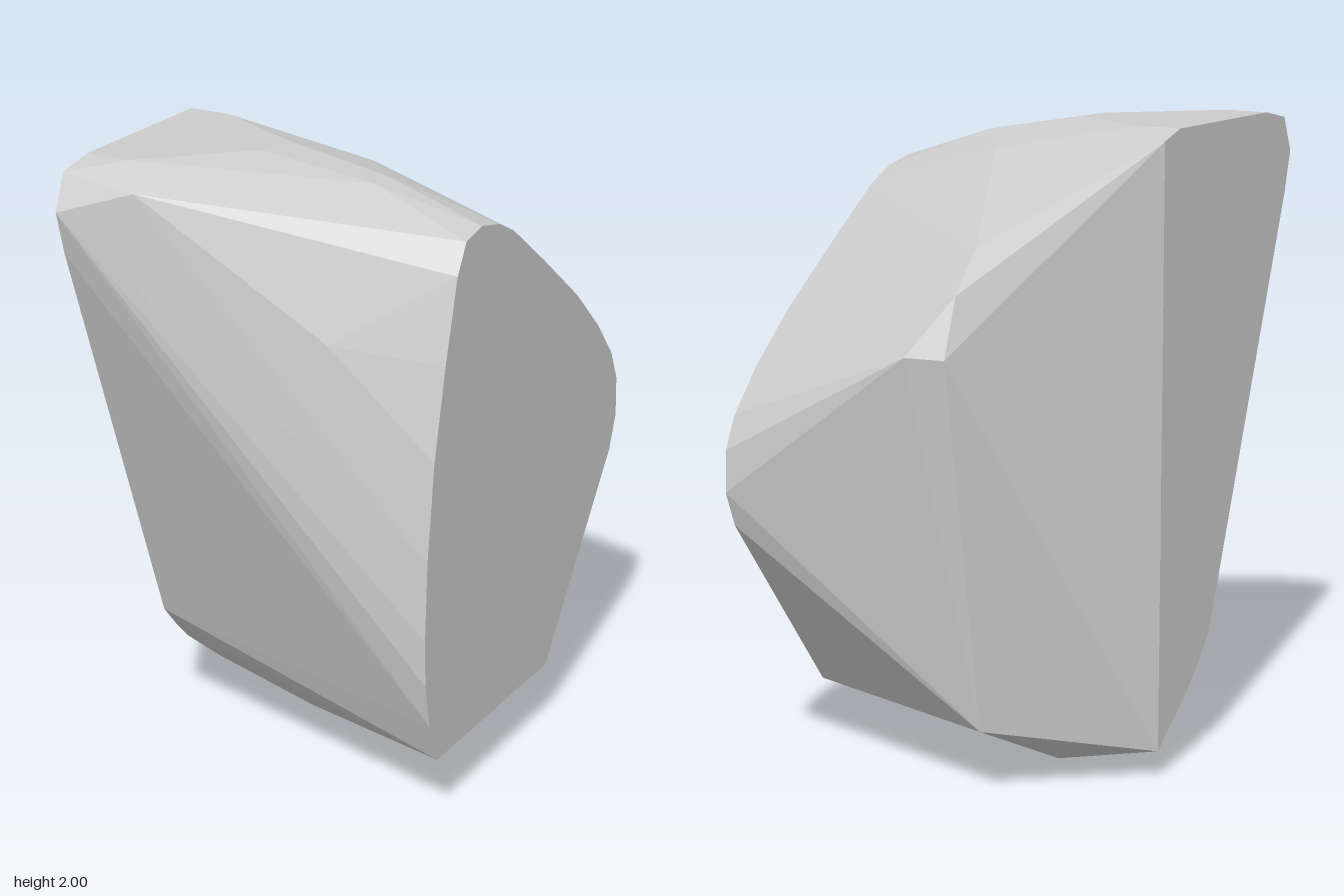
import * as THREE from 'three';
import { ConvexGeometry } from 'three/addons/geometries/ConvexGeometry.js';

// Outlines of the two flat cut sides, as [z, y]
const broadSide = [
  [0.43, 0.215], [0.48, 0.35], [0.51, 0.5], [0.515, 0.65], [0.505, 0.9], [0.47, 1.2], [0.41, 1.48],
  [0.345, 1.73], [0.295, 1.82], [0.2, 1.84], [0.09, 1.815], [0, 1.77], [-0.21, 1.615], [-0.45, 1.43],
  [-0.61, 1.28], [-0.72, 1.15], [-0.765, 1.05], [-0.77, 0.92], [-0.73, 0.81], [-0.3, 0.215],
];
const narrowSide = [
  [-0.03, 0.09], [0.15, 0.24], [0.22, 0.315], [0.285, 0.395], [0.74, 1.73], [0.775, 1.865],
  [0.73, 1.975], [0.61, 2], [0.06, 2], [-0.03, 1.97],
];

// Corners between the two sides, as [x, y, z]
const underside = [[-0.18, 0, -0.03], [-0.18, 0.215, -0.48]];
const backRidge = [[-0.18, 1.38, -0.66], [-0.07, 1.385, -0.705], [-0.18, 1.56, -0.6], [-0.15, 1.675, -0.45]];
const crown = [
  [-0.4, 2, 0.06], [-0.12, 2, 0.2], [-0.12, 2, 0.33], [-0.4, 2, 0.61],
  [0.07, 1.91, 0], [0.23, 1.94, 0.2], [0.23, 1.94, 0.28],
];
const frontCorners = [[-0.32, 1.935, 0.7], [0.23, 1.53, 0.55]];

export function createModel() {
  const group = new THREE.Group();
  group.name = 'rock';

  // Faceted stone chunk: the convex skin around all corners
  const corners = [
    ...broadSide.map(([z, y]) => [0.54, y, z]),
    ...narrowSide.map(([z, y]) => [-0.54, y, z]),
    ...underside, ...backRidge, ...crown, ...frontCorners,
  ].map((p) => new THREE.Vector3(...p));

  const stone = new THREE.Mesh(
    new ConvexGeometry(corners),
    new THREE.MeshStandardMaterial({ color: 0xcccccc, flatShading: true }),
  );
  stone.name = 'stoneChunk';
  group.add(stone);
  return group;
}
